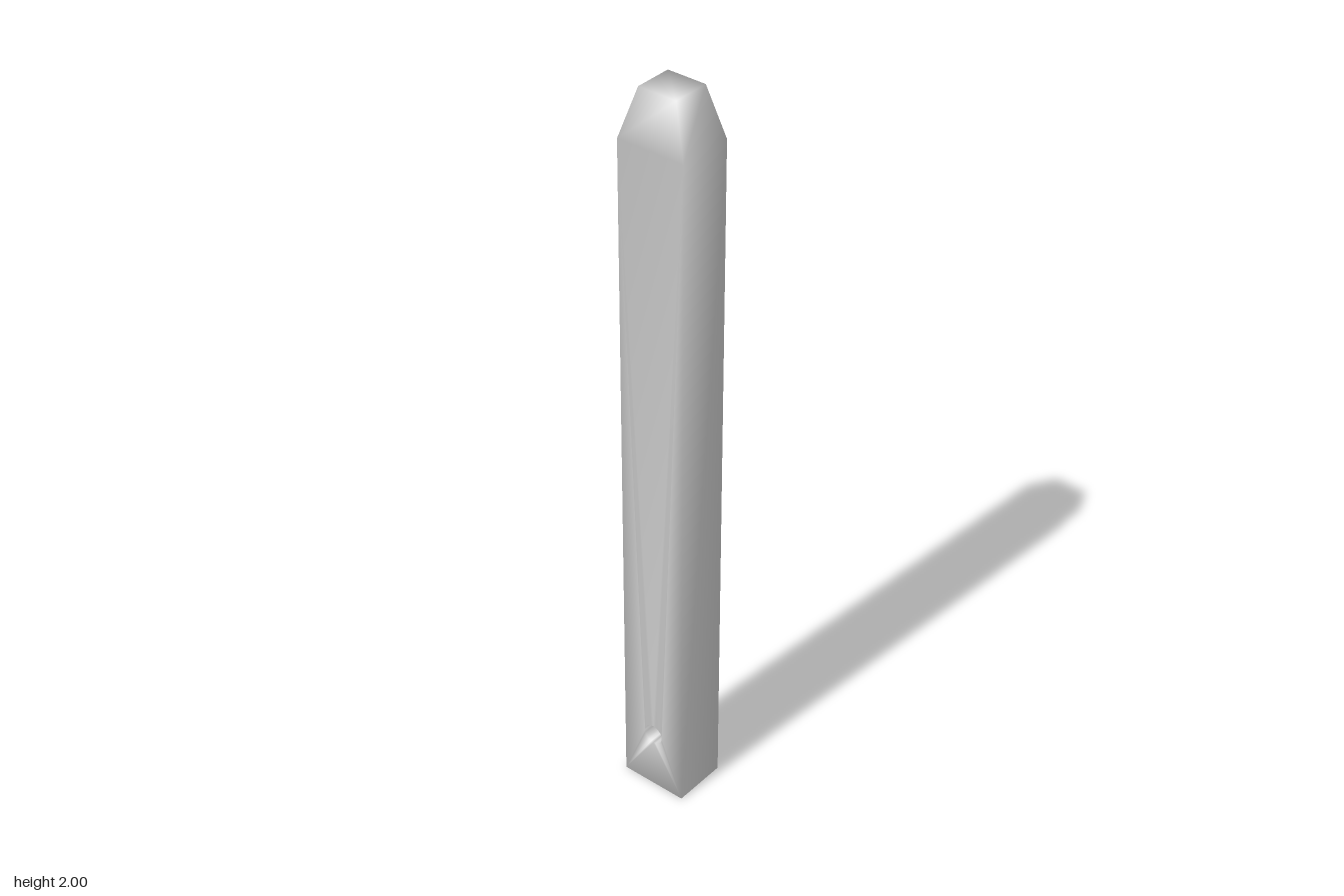
import * as THREE from 'three';

export function createModel() {
  const group = new THREE.Group();
  const N = 24, holeY = 0.17, holeR = 0.028, depth = 0.075;
  const points = [], index = [];
  const add = (x, y, z) => points.push([x, y, z]) - 1;
  const quad = (a, b, c, d) => index.push(a, b, c, a, c, d);

  // Four corners of a level, counter-clockwise from the front right
  const level = (y, hx, hz) =>
    [[1, 1], [1, -1], [-1, -1], [-1, 1]].map(([sx, sz]) => add(sx * hx, y, sz * hz));
  const foot = level(0, 0.0935, depth);
  const shoulder = level(1.87, 0.0935, depth);
  const tip = level(2, 0.053, 0.05);

  // Plain sides, tapered head and end caps
  for (const k of [0, 2]) quad(foot[k], foot[k + 1], shoulder[k + 1], shoulder[k]);
  for (let k = 0; k < 4; k++) {
    const n = (k + 1) % 4;
    quad(shoulder[k], shoulder[n], tip[n], tip[k]);
  }
  quad(...tip);
  quad(...[...foot].reverse());

  // Broad face pierced by the hole, fanned from its corners to the rim
  const piercedFace = (s, corners) => {
    const rim = [];
    for (let i = 0; i < N; i++) {
      const a = (i / N) * Math.PI * 2;
      rim.push(add(s * holeR * Math.cos(a), holeY + holeR * Math.sin(a), s * depth));
    }
    for (let i = 0; i < N; i++) {
      index.push(corners[Math.floor(i / (N / 4))], rim[(i + 1) % N], rim[i]);
    }
    for (let q = 0; q < 4; q++) {
      const n = (q + 1) % 4;
      index.push(corners[q], corners[n], rim[(n * N) / 4]);
    }
    return rim;
  };
  const front = piercedFace(1, [shoulder[0], shoulder[3], foot[3], foot[0]]);
  const back = piercedFace(-1, [shoulder[2], shoulder[1], foot[1], foot[2]]);

  // Wall of the hole
  const opposite = i => back[(N / 2 - i + N) % N];
  for (let i = 0; i < N; i++) {
    quad(front[i], front[(i + 1) % N], opposite(i + 1), opposite(i));
  }

  // Shared vertices give softly shaded edges
  const geometry = new THREE.BufferGeometry();
  geometry.setAttribute('position', new THREE.Float32BufferAttribute(points.flat(), 3));
  geometry.setIndex(index);
  geometry.computeVertexNormals();
  const post = new THREE.Mesh(geometry, new THREE.MeshStandardMaterial({ color: 0xcccccc }));
  post.name = 'piercedPost';
  group.add(post);
  return group;
}
